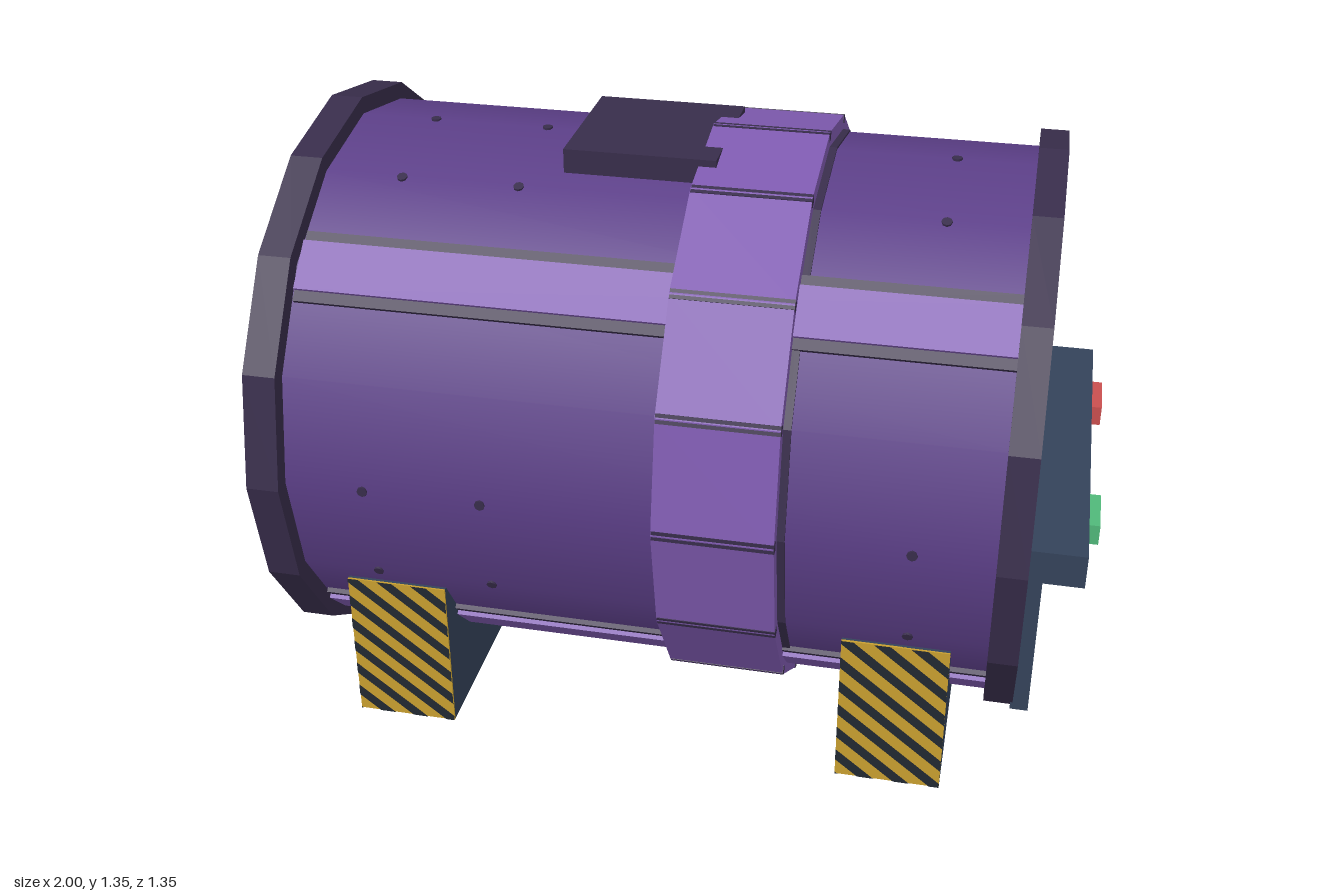
import * as THREE from 'three';

const CY = 0.674; // height of the drum axis
const SIDES = 16;

const mat = (name, color) => {
  const m = new THREE.MeshStandardMaterial({ color });
  m.name = name;
  return m;
};

export function createModel() {
  const purple = mat('purple', 0x5c3f88);
  const lilac = mat('lilac', 0x7f5ab0);
  const dark = mat('darkPlum', 0x382d4b);
  const slate = mat('slate', 0x34435a);
  const yellow = mat('yellow', 0xc9a030);
  const black = mat('charcoal', 0x222831);
  const green = mat('green', 0x50b87a);
  const red = mat('red', 0xc94f4f);

  const model = new THREE.Group();
  model.name = 'storageDrum';

  const add = (parent, name, geometry, material) => {
    const mesh = new THREE.Mesh(geometry, material);
    mesh.name = name;
    parent.add(mesh);
    return mesh;
  };

  // Box given by its limits on each axis
  const box = (parent, name, material, x0, x1, y0, y1, z0, z1) => {
    const mesh = add(parent, name, new THREE.BoxGeometry(x1 - x0, y1 - y0, z1 - z0), material);
    mesh.position.set((x0 + x1) / 2, (y0 + y1) / 2, (z0 + z1) / 2);
    return mesh;
  };

  // Sixteen-sided drum section along x
  const drum = (name, material, x0, x1, r0, r1, flat) => {
    let g = new THREE.CylinderGeometry(r1, r0, x1 - x0, SIDES).rotateZ(-Math.PI / 2);
    if (flat) {
      g = g.toNonIndexed();
      g.computeVertexNormals();
    }
    add(model, name, g, material).position.set((x0 + x1) / 2, CY, 0);
  };

  // Group turned about the drum axis; its local +y points outwards
  const spoke = (name, angle) => {
    const g = new THREE.Group();
    g.name = name;
    g.position.y = CY;
    g.rotation.x = angle;
    model.add(g);
    return g;
  };

  // Shell, rims and end cone
  drum('shell', purple, -0.8, 0.8, 0.635, 0.635, false);
  drum('leftRim', dark, 0.785, 0.85, 0.675, 0.675, true);
  drum('rightRim', dark, -0.855, -0.78, 0.675, 0.675, true);
  drum('endCone', dark, -1, -0.855, 0.335, 0.63, false);
  drum('band', lilac, 0.06, 0.325, 0.675, 0.675, true);
  drum('bandSeal', dark, 0.325, 0.342, 0.64, 0.64, true);

  // Seams at the corners of the band
  for (let i = 0; i < SIDES; i++) {
    const g = spoke('bandSeam', (i * Math.PI * 2) / SIDES);
    box(g, 'seam', dark, 0.061, 0.326, 0.655, 0.6745, -0.011, 0.011);
  }

  // Long rails on the diagonals, and rivets
  for (let i = 0; i < 4; i++) {
    const rail = spoke('rail', Math.PI / 4 + (i * Math.PI) / 2);
    box(rail, 'railBase', dark, -0.775, 0.785, 0.6, 0.63, -0.082, 0.082);
    box(rail, 'railFace', lilac, -0.775, 0.785, 0.6, 0.64, -0.057, 0.057);
    for (const offset of [0, Math.PI / 8]) {
      const row = spoke('rivetRow', (i * Math.PI) / 2 + offset);
      for (const x of [-0.6, -0.33, 0.61]) {
        add(row, 'rivet', new THREE.CylinderGeometry(0.012, 0.012, 0.016, 8), dark).position.set(x, 0.63, 0);
      }
    }
  }

  // Top hatch
  box(model, 'topHatch', dark, -0.245, 0.1, 1.24, 1.33, -0.175, 0.175);

  // Slanted stripes clipped to a plate of width w and height h
  const stripes = (w, h) => {
    const k = -0.8, period = 0.066, thick = 0.03, shapes = [];
    for (let a = -0.12; a < h + 0.12; a += period) {
      const b = a + thick;
      const x0 = Math.max(-w / 2, (h - a) / k);
      const x1 = Math.min(w / 2, -b / k);
      if (x1 - x0 < 0.001) continue;
      const edge = (c, brk) => [x0, brk, x1]
        .filter((x, i) => i !== 1 || (x > x0 + 1e-4 && x < x1 - 1e-4))
        .map((x) => new THREE.Vector2(x, THREE.MathUtils.clamp(c + k * x, 0, h)));
      const pts = [...edge(a, -a / k), ...edge(b, (h - b) / k).reverse()];
      shapes.push(new THREE.Shape(pts.filter((p, i) => p.distanceTo(pts[(i + 1) % pts.length]) > 1e-4)));
    }
    return new THREE.ShapeGeometry(shapes);
  };

  // Cradle feet with warning plates front and back
  for (const [x, w] of [[-0.572, 0.236], [0.585, 0.24]]) {
    const foot = new THREE.Group();
    foot.name = 'foot';
    foot.position.x = x;
    model.add(foot);
    box(foot, 'footBlock', slate, -w / 2, w / 2, 0, 0.38, -0.56, 0.56);
    for (const turn of [0, Math.PI]) {
      const plate = new THREE.Group();
      plate.name = 'warningPlate';
      plate.rotation.y = turn;
      foot.add(plate);
      box(plate, 'plate', yellow, -w / 2, w / 2, 0, 0.38, 0.559, 0.564);
      add(plate, 'plateStripes', stripes(w, 0.38), black).position.z = 0.566;
    }
  }

  // Control shelf with two U-shaped frames beneath
  box(model, 'controlShelf', slate, 0.85, 0.975, 0.54, 0.62, -0.485, 0.485);
  for (const [name, material, s] of [['leftFrame', slate, 1], ['rightFrame', yellow, -1]]) {
    const frame = new THREE.Group();
    frame.name = name;
    model.add(frame);
    const bar = (part, y0, y1, a, b) =>
      box(frame, part, material, 0.845, 0.885, y0, y1, Math.min(a * s, b * s), Math.max(a * s, b * s));
    bar('innerPost', 0.27, 0.54, 0, 0.135);
    bar('outerPost', 0.27, 0.54, 0.405, 0.485);
    bar('sill', 0.19, 0.27, 0, 0.485);
  }
  box(model, 'greenButton', green, 0.97, 1, 0.557, 0.606, 0.205, 0.335);
  box(model, 'redButton', red, 0.97, 1, 0.557, 0.606, -0.335, -0.203);

  // Hub plate on the cone end: blocky ring with a plus-shaped socket
  const hub = new THREE.Group();
  hub.name = 'hub';
  hub.position.set(-1, CY, 0);
  hub.rotation.y = -Math.PI / 2;
  model.add(hub);
  const blocky = (outer, inner) => {
    const quarter = [[outer, -inner], [outer, inner], [inner, inner]];
    const pts = [];
    for (let i = 0; i < 4; i++) {
      for (const [px, py] of quarter) {
        pts.push(new THREE.Vector2(px, py).rotateAround(new THREE.Vector2(), (i * Math.PI) / 2));
      }
    }
    return new THREE.ShapeGeometry(new THREE.Shape(pts));
  };
  add(hub, 'hubPlate', blocky(0.165, 0.11), purple).position.z = 0.002;
  add(hub, 'hubSocket', blocky(0.1, 0.05), black).position.z = 0.004;

  return model;
}
